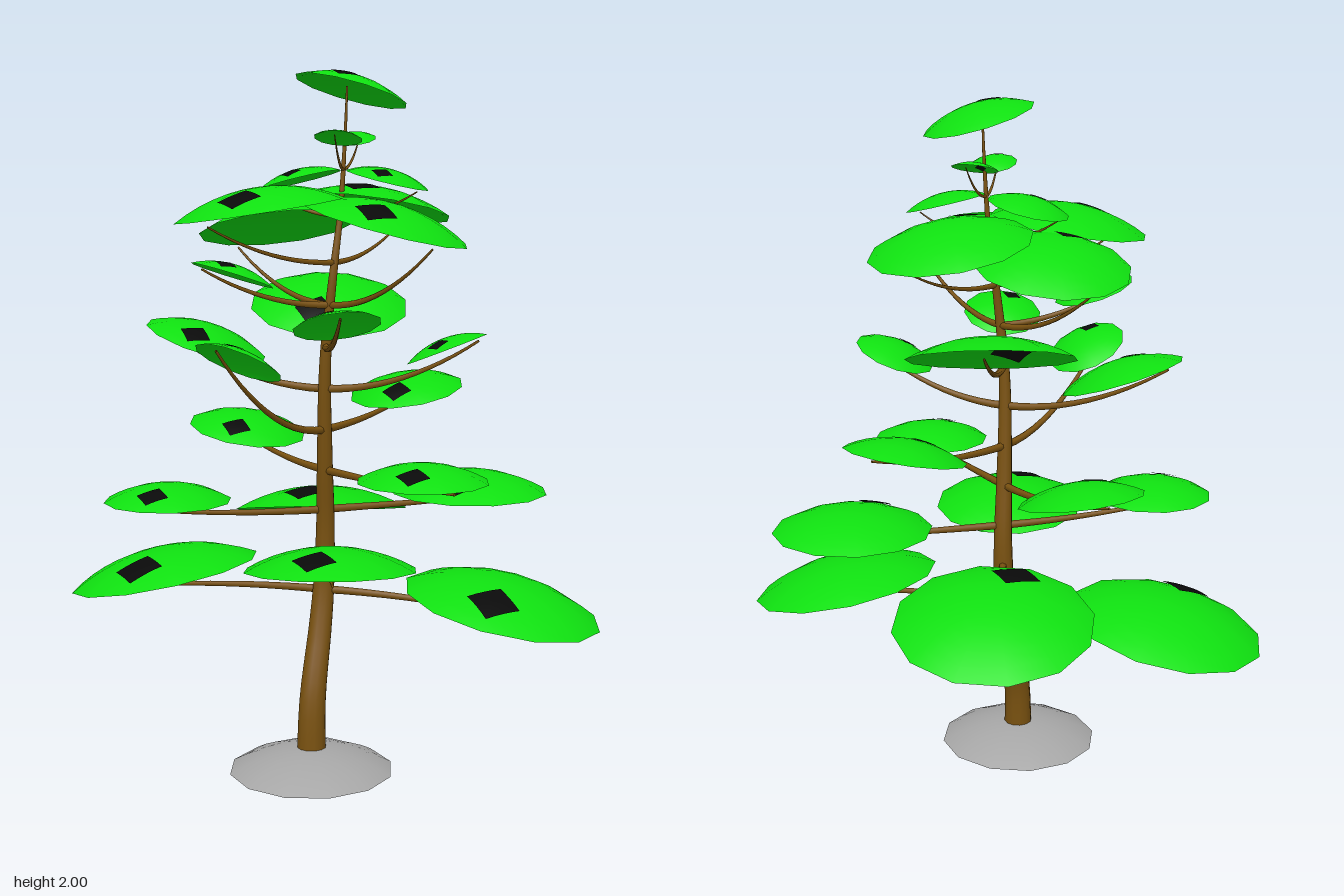
import * as THREE from 'three';

const material = (name, color) => {
  const m = new THREE.MeshStandardMaterial({ color, side: THREE.DoubleSide });
  m.name = name;
  return m;
};

// Middle tiers from the bottom up; each pad is x, y, z, radius, slope along x, slope along z
const TIERS = [
  [[0.14, 0.675, 0.46, 0.235, 0.04, 0.11], [-0.165, 0.645, -0.43, 0.28, 0.08, 0.22]],
  [[-0.38, 0.808, 0.33, 0.18], [0.365, 0.775, -0.22, 0.235]],
  [[0.36, 0.905, 0.335, 0.18], [-0.325, 0.94, -0.175, 0.18, -0.18, -0.1]],
  [[-0.12, 1.22, 0.45, 0.124, -0.25, 0.5], [0.14, 1.058, -0.33, 0.176, 0.09, -0.2]],
  [[-0.355, 1.235, 0.085, 0.182, -0.34], [0.365, 1.235, 0.09, 0.122, 0.4]],
  [[0.14, 1.32, 0.4, 0.12, 0.25, 0.36], [-0.075, 1.325, -0.22, 0.24, -0.14, -0.33]],
  [[-0.2, 1.44, 0.275, 0.12, -0.25, 0.22], [0.22, 1.58, 0.205, 0.232, -0.27],
    [-0.17, 1.56, -0.01, 0.228, 0.18, 0.2]],
  [[-0.105, 1.62, 0.315, 0.237, 0.14, -0.06], [0.08, 1.615, -0.14, 0.235, -0.08, 0.2]],
];
const FIRST_ROOT = 0.51, ROOT_STEP = 0.12;

// Tapered tube along a curve
function limb(curve, segments, sides, radiusAt) {
  const g = new THREE.TubeGeometry(curve, segments, 1, sides);
  const p = g.attributes.position, v = new THREE.Vector3(), c = new THREE.Vector3();
  for (let i = 0; i <= segments; i++) {
    curve.getPointAt(i / segments, c);
    for (let j = 0; j <= sides; j++) {
      const k = i * (sides + 1) + j;
      v.fromBufferAttribute(p, k).sub(c).multiplyScalar(radiusAt(i / segments, c.y)).add(c);
      p.setXYZ(k, v.x, v.y, v.z);
    }
  }
  return g;
}

// Shallow spherical cap of rim radius 1, open below
function domeGeometry() {
  const g = new THREE.SphereGeometry(2, 12, 6, 0, Math.PI * 2, 0, Math.PI / 6);
  return g.translate(0, -Math.sqrt(3), 0);
}

// Dark diamond that follows the dome surface
function patchGeometry(offset) {
  const g = new THREE.PlaneGeometry(0.37, 0.37, 4, 4);
  g.rotateX(-Math.PI / 2).rotateY(Math.PI / 4).translate(0, 0, 0.6);
  const p = g.attributes.position;
  for (let i = 0; i < p.count; i++) {
    const x = p.getX(i), z = p.getZ(i);
    p.setY(i, Math.sqrt(4 - x * x - z * z) - Math.sqrt(3) + offset);
  }
  g.computeVertexNormals();
  return g;
}

export function createModel() {
  const tree = new THREE.Group();
  tree.name = 'tree';
  const green = material('leaf green', 0x0fe010);
  const black = material('patch black', 0x0a0a0a);
  const brown = material('bark brown', 0x7a5210);
  const grey = material('stone grey', 0xa6a6a6);
  const add = (parent, name, geometry, mat) => {
    const m = new THREE.Mesh(geometry, mat);
    m.name = name;
    parent.add(m);
    return m;
  };

  // Stone mound
  const dome = domeGeometry();
  const mound = add(tree, 'mound', dome, grey);
  mound.scale.setScalar(0.24);
  mound.position.set(-0.01, 0, 0.165);

  // Bent trunk
  const path = [
    [-0.012, 0, 0.158], [-0.012, 0.2, 0.145], [-0.01, 0.4, 0.078], [-0.008, 0.52, 0.05],
    [-0.004, 0.7, 0.045], [0.002, 0.9, 0.07], [0.012, 1.2, 0.095], [0.035, 1.45, 0.09],
    [0.045, 1.6, 0.062], [0.055, 1.8, 0.05], [0.062, 1.96, 0.05],
  ].map(a => new THREE.Vector3(...a));
  const trunkCurve = new THREE.CatmullRomCurve3(path);
  const trunkRadius = y => 0.003 + 0.041 * Math.pow(Math.max(0, 1 - y / 1.96), 1.15);
  add(tree, 'trunk', limb(trunkCurve, 40, 12, (t, y) => trunkRadius(y)), brown);
  const end = add(tree, 'trunkEnd', new THREE.CircleGeometry(0.044, 12), brown);
  end.rotation.x = Math.PI / 2;
  end.position.copy(path[0]);

  // Trunk centre at a given height
  const trunkAt = y => {
    let lo = 0, hi = 1;
    for (let i = 0; i < 24; i++) {
      const mid = (lo + hi) / 2;
      if (trunkCurve.getPoint(mid).y < y) lo = mid; else hi = mid;
    }
    return trunkCurve.getPoint(lo);
  };

  // Foliage pad with a patch on both faces
  const patchTop = patchGeometry(0.014), patchUnder = patchGeometry(-0.02);
  const up = new THREE.Vector3(0, 1, 0);
  const addPad = ([x, y, z, r, sx = 0, sz = 0]) => {
    const pad = new THREE.Group();
    pad.name = 'foliagePad';
    pad.position.set(x, y, z);
    pad.scale.setScalar(r);
    pad.quaternion.setFromUnitVectors(up, new THREE.Vector3(-sx, 1, -sz).normalize());
    add(pad, 'leafDome', dome, green);
    add(pad, 'patchTop', patchTop, black);
    add(pad, 'patchUnder', patchUnder, black);
    tree.add(pad);
  };

  // Curved branch from the trunk to the far side of a pad
  const addBranch = ([x, y, z, r, sx = 0, sz = 0], rootY) => {
    const root = trunkAt(rootY);
    const out = new THREE.Vector3(x - root.x, 0, z - root.z).normalize().multiplyScalar(0.74 * r);
    const tip = new THREE.Vector3(x + out.x, y + out.x * sx + out.z * sz - 0.08 * r, z + out.z);
    const bend = new THREE.Vector3((root.x + tip.x) / 2, root.y, (root.z + tip.z) / 2);
    const thick = Math.min(0.012, 0.75 * trunkRadius(rootY));
    const curve = new THREE.QuadraticBezierCurve3(root, bend, tip);
    add(tree, 'branch', limb(curve, 12, 7, t => thick * (1 - 0.7 * t)), brown);
  };
  const addBough = (pad, rootY) => {
    addPad(pad);
    addBranch(pad, rootY);
  };

  TIERS.forEach((tier, i) => {
    for (const pad of tier) addBough(pad, FIRST_ROOT + ROOT_STEP * (i + 1));
  });

  // Mirrored pairs: drooping lowest boughs, and two small tiers near the top
  for (const s of [-1, 1]) {
    addBough([0.52 * s, 0.509 - 0.009 * s, 0.03, 0.287, -0.205 * s], FIRST_ROOT);
    addBough([0.06 + 0.127 * s, 1.7, 0.078, 0.12, -0.25 * s], 1.6);
    addBough([0.06, 1.814, 0.06 + 0.07 * s, 0.068, 0, 0.3 * s], 1.73);
  }

  // Crown pad on the trunk tip
  addPad([0.075, 1.945, 0.055, 0.164, -0.22, 0.2]);
  return tree;
}
